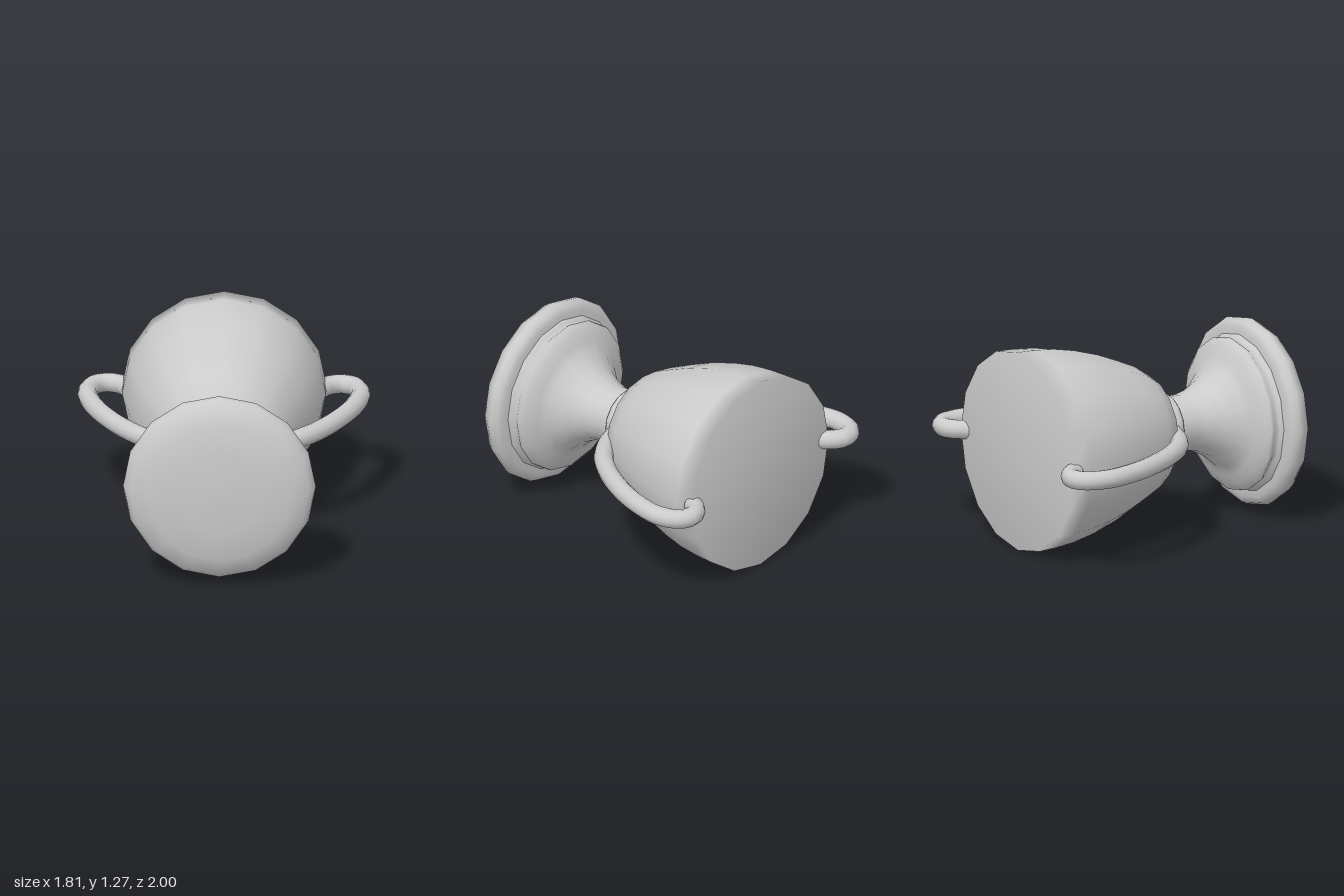
import * as THREE from 'three';

const CENTER_Y = 0.64;

export function createModel() {
  const model = new THREE.Group();
  const material = new THREE.MeshStandardMaterial({ color: 0xcccccc });

  const add = (name, geometry, parent = model) => {
    const mesh = new THREE.Mesh(geometry, material);
    mesh.name = name;
    parent.add(mesh);
    return mesh;
  };

  // 16-sided turned part whose axis lies along z; profile is [radius, z]
  const turned = (name, profile) => {
    const points = profile.map(([r, z]) => new THREE.Vector2(r, z));
    const geometry = new THREE.LatheGeometry(points, 16);
    geometry.rotateX(Math.PI / 2);
    add(name, geometry).position.y = CENTER_Y;
  };

  // Solid cup, closed flat at the rim
  turned('cup', [
    [0, -0.87], [0.635, -0.87], [0.63, -0.74], [0.615, -0.6], [0.583, -0.45],
    [0.53, -0.28], [0.468, -0.13], [0.41, 0], [0.34, 0.1], [0.215, 0.17], [0.18, 0.18],
  ]);

  // Rounded collar between cup and stem
  turned('collar', [
    [0.17, 0.165], [0.2, 0.17], [0.214, 0.185], [0.214, 0.218], [0.2, 0.236], [0.17, 0.24],
  ]);

  // Flaring stem with a stepped bead
  turned('stem', [
    [0.178, 0.22], [0.177, 0.34], [0.195, 0.42], [0.24, 0.51], [0.32, 0.605],
    [0.38, 0.635], [0.44, 0.66], [0.482, 0.695], [0.486, 0.715], [0.465, 0.742],
    [0.475, 0.76], [0.505, 0.78], [0.505, 0.8],
  ]);

  // Broad rounded foot
  turned('foot', [
    [0.48, 0.775], [0.54, 0.778], [0.58, 0.797], [0.597, 0.835], [0.588, 0.87],
    [0.555, 0.918], [0.45, 0.968], [0.26, 0.993], [0, 1.0],
  ]);

  // Looped handles, from the rim out and down to the collar
  const path = [
    [0.595, -0.845], [0.64, -0.905], [0.72, -0.94], [0.8, -0.9], [0.845, -0.77],
    [0.82, -0.6], [0.745, -0.39], [0.61, -0.15], [0.47, 0.01], [0.34, 0.095], [0.2, 0.155],
  ];
  for (const side of [1, -1]) {
    const handle = new THREE.Group();
    handle.name = side > 0 ? 'leftHandle' : 'rightHandle';
    handle.position.y = CENTER_Y;
    const curve = new THREE.CatmullRomCurve3(path.map(([x, z]) => new THREE.Vector3(side * x, 0, z)));
    add('handleTube', new THREE.TubeGeometry(curve, 36, 0.06, 12), handle);
    for (const t of [0, 1]) {
      const end = add('handleEnd', new THREE.SphereGeometry(0.06, 12, 8), handle);
      end.position.copy(curve.getPoint(t));
      end.scale.setScalar(0.98);
    }
    model.add(handle);
  }

  return model;
}
